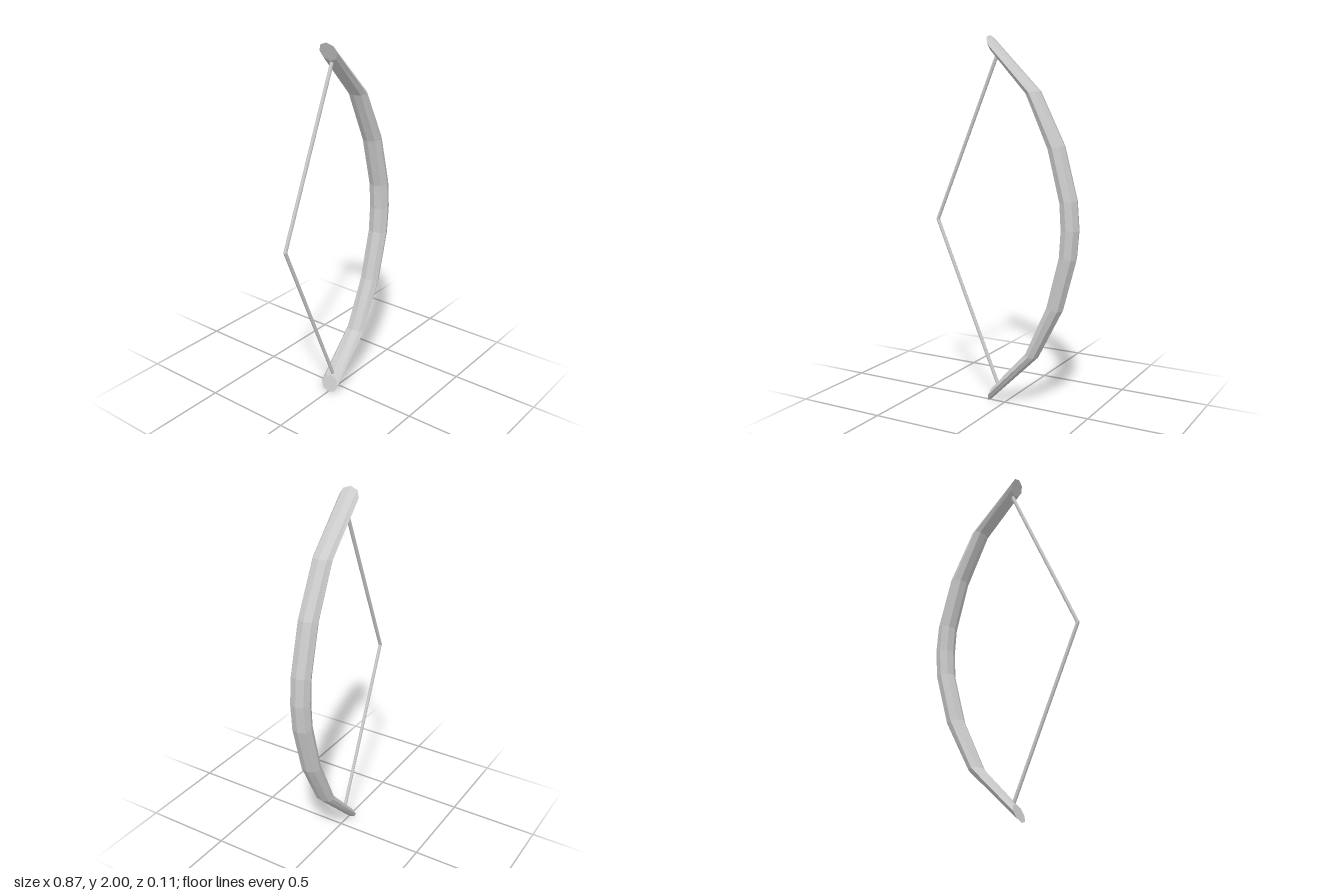
import * as THREE from 'three';

const SIDES = 8;

// Closed loft through rings [innerX, innerY, outerX, outerY], each an ellipse of half-depth rz, listed bottom to top.
function loft(name, rings, rz) {
  const pos = [], index = [];
  for (const [ix, iy, ox, oy] of rings) {
    for (let k = 0; k < SIDES; k++) {
      const a = (k / SIDES) * Math.PI * 2, c = Math.cos(a) / 2;
      pos.push((ix + ox) / 2 + (ox - ix) * c, (iy + oy) / 2 + (oy - iy) * c, rz * Math.sin(a));
    }
  }
  const top = (rings.length - 1) * SIDES;
  for (let r = 0; r < top; r += SIDES) {
    for (let k = 0; k < SIDES; k++) {
      const n = (k + 1) % SIDES;
      index.push(r + k, r + SIDES + k, r + SIDES + n, r + k, r + SIDES + n, r + n);
    }
  }
  // end caps
  for (let k = 1; k < SIDES - 1; k++) {
    index.push(0, k, k + 1, top, top + k + 1, top + k);
  }
  const geo = new THREE.BufferGeometry();
  geo.setAttribute('position', new THREE.Float32BufferAttribute(pos, 3));
  geo.setIndex(index);
  geo.computeVertexNormals();
  const mesh = new THREE.Mesh(geo, new THREE.MeshStandardMaterial({ color: 0xcccccc, flatShading: true }));
  mesh.name = name;
  return mesh;
}

// Adds the lower half by mirroring the upper rings about y = 1.
function mirrored(upper) {
  const lower = upper.slice(1).reverse().map(([ix, iy, ox, oy]) => [ix, 2 - iy, ox, 2 - oy]);
  return [...lower, ...upper];
}

export function createModel() {
  const group = new THREE.Group();
  group.name = 'bow';

  // curved limb from the grip at mid height to the slanted, flattened tip
  group.add(loft('bowLimbs', mirrored([
    [0.335, 1, 0.435, 1],
    [0.327, 1.14, 0.422, 1.155],
    [0.258, 1.415, 0.347, 1.435],
    [0.133, 1.695, 0.205, 1.71],
    [-0.058, 1.905, -0.09, 2],
  ]), 0.057));

  // drawn string, bent at the nocking point
  group.add(loft('bowString', mirrored([
    [-0.437, 1, -0.415, 1],
    [-0.055, 1.9, -0.033, 1.9],
  ]), 0.0095));

  return group;
}
